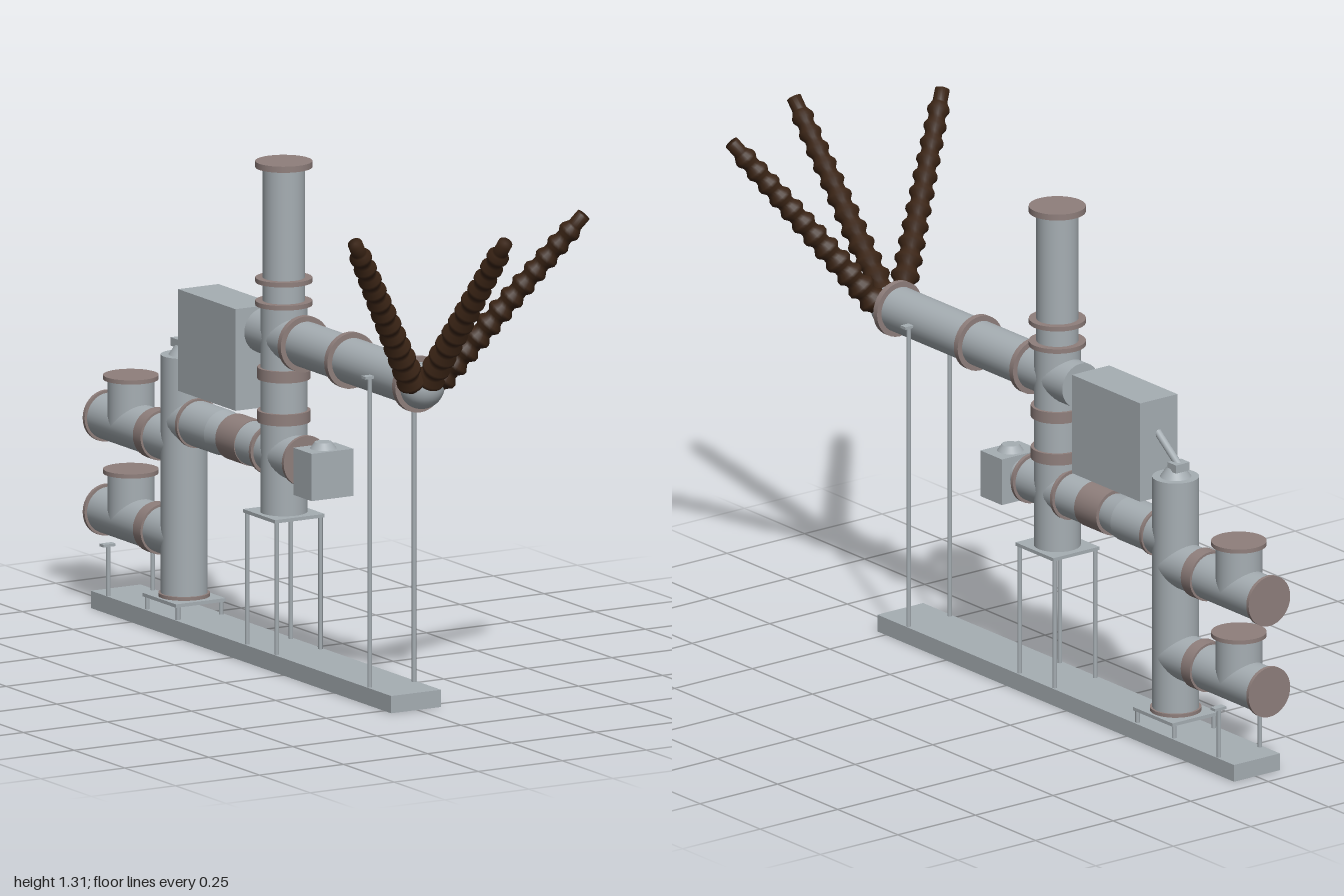
import * as THREE from 'three';

const steel = new THREE.MeshStandardMaterial({ color: 0xa6aeb3 });
const rust = new THREE.MeshStandardMaterial({ color: 0x8f7f7c });
const brown = new THREE.MeshStandardMaterial({ color: 0x3a2415 });
const V = (x, y, z) => new THREE.Vector3(x, y, z);
const UP = V(0, 1, 0);

export function createModel() {
  const model = new THREE.Group();
  model.name = 'switchgearBay';

  function add(name, geometry, material, position) {
    const mesh = new THREE.Mesh(geometry, material);
    mesh.name = name;
    mesh.position.copy(position);
    model.add(mesh);
    return mesh;
  }
  // Cylinder running from a to b
  function pipe(name, a, b, r, material = steel, rEnd = r, sides = 32) {
    const dir = b.clone().sub(a);
    const mesh = add(name, new THREE.CylinderGeometry(rEnd, r, dir.length(), sides), material,
      a.clone().add(b).multiplyScalar(0.5));
    mesh.quaternion.setFromUnitVectors(UP, dir.normalize());
    return mesh;
  }
  // Box given by its limits
  const box = (name, x0, x1, y0, y1, z0, z1) => add(name,
    new THREE.BoxGeometry(x1 - x0, y1 - y0, z1 - z0), steel,
    V((x0 + x1) / 2, (y0 + y1) / 2, (z0 + z1) / 2));
  const C = -0.004; // centre plane of the pipework
  const along = (name, y, z0, z1, r, m, r1) => pipe(name, V(C, y, z0), V(C, y, z1), r, m, r1);
  const upright = (name, z, y0, y1, r, m, r1) => pipe(name, V(C, y0, z), V(C, y1, z), r, m, r1);
  const post = (name, x, z, y0, y1, r = 0.006) =>
    pipe(name, V(C + x, y0, z), V(C + x, y1, z), r, steel, r, 10);

  // Base beam
  box('base', C - 0.074, C + 0.074, 0, 0.045, -0.948, 0.535);

  // Upper horizontal bus duct with rounded front end
  along('busDuct', 0.852, 0.565, -0.215, 0.059);
  add('ductEnd', new THREE.SphereGeometry(0.059, 32, 20), steel, V(C, 0.85, 0.562));
  for (const z of [0.545, 0.21, -0.02])
    along('ductFlange', 0.852, z + 0.008, z - 0.008, 0.073, rust);

  // Main tower
  const T = -0.118;
  upright('towerLower', T, 0.395, 0.94, 0.06);
  upright('towerUpper', T, 0.93, 1.3, 0.054);
  upright('towerCap', T, 1.295, 1.311, 0.073, rust);
  for (const y of [1.002, 0.942]) upright('towerFlange', T, y - 0.006, y + 0.006, 0.073, rust);
  for (const y of [0.76, 0.648]) upright('towerCollar', T, y - 0.015, y + 0.015, 0.068, rust);
  box('towerPlate', C - 0.074, C + 0.074, 0.388, 0.397, T - 0.079, T + 0.079);
  for (const x of [-0.065, 0.065])
    for (const z of [-0.073, 0.073]) post('towerLeg', x, T + z, 0.045, 0.39);

  // Lower horizontal link to the tank
  along('linkPipe', 0.548, -0.01, -0.27, 0.058);
  for (const z of [-0.014, -0.177]) along('linkFlange', 0.548, z + 0.005, z - 0.005, 0.066, rust);
  along('bellows', 0.548, -0.265, -0.357, 0.06, rust);
  along('reducer', 0.548, -0.357, -0.415, 0.051, steel, 0.059);
  along('linkPipeRear', 0.548, -0.415, -0.61, 0.059);
  along('linkFlangeRear', 0.548, -0.54, -0.55, 0.064, rust);

  // Drive unit in front of the tower
  box('driveBox', C - 0.062, C + 0.062, 0.475, 0.598, 0.032, 0.122);
  pipe('driveCap', V(C, 0.598, 0.077), V(C, 0.615, 0.077), 0.034, steel, 0.022);
  along('driveShaft', 0.548, 0.035, -0.012, 0.028);
  along('driveCoupling', 0.548, 0.025, 0.012, 0.042);

  // Control cabinet
  box('controlCabinet', C - 0.06, C + 0.06, 0.64, 0.905, -0.54, -0.257);

  // Vertical tank with stand and linkage
  const K = -0.61;
  upright('tank', K, 0.085, 0.716, 0.06);
  upright('tankRim', K, 0.085, 0.096, 0.066, rust);
  box('tankPlate', C - 0.074, C + 0.074, 0.078, 0.087, K - 0.082, K + 0.082);
  for (const x of [-0.064, 0.064])
    for (const z of [-0.076, 0.076]) post('tankLeg', x, K + z, 0.045, 0.08);
  upright('tankCap', K, 0.716, 0.748, 0.04, steel, 0.018);
  pipe('linkageRod', V(C, 0.815, -0.535), V(C, 0.748, -0.625), 0.01, steel, 0.01, 12);
  box('linkageBracket', C - 0.022, C + 0.022, 0.735, 0.757, -0.64, -0.605);

  // Two rear outlets, each with an upward branch
  for (const y of [0.24, 0.485]) {
    along('outletPipe', y, K, -0.995, 0.06);
    along('outletCollar', y, -0.716, -0.754, 0.066, rust);
    along('outletCap', y, -0.99, -1, 0.067, rust);
    upright('outletBranch', -0.873, y, y + 0.12, 0.06);
    upright('branchCap', -0.873, y + 0.118, y + 0.129, 0.071, rust);
  }

  // Slender supports with side lugs: rear outlet and front duct
  for (const s of [-1, 1]) {
    post('outletPost', s * 0.066, -0.875, 0.045, 0.178);
    box('outletLug', C + s * 0.068 - 0.018, C + s * 0.068 + 0.018, 0.174, 0.181, -0.885, -0.865);
    post('ductPost', s * 0.066, 0.415, 0.045, 0.855);
    box('ductLug', C + s * 0.068 - 0.016, C + s * 0.068 + 0.016, 0.85, 0.857, 0.405, 0.425);
  }

  // Ribbed insulators fanning out from the duct end
  function insulator(a, b) {
    const dir = b.clone().sub(a), L = dir.length(), n = 12, body = L * 0.94;
    const pts = [new THREE.Vector2(0, 0), new THREE.Vector2(0.024, 0)];
    for (let i = 0; i < n; i++) {
      const y = (f) => ((i + f) / n) * body;
      const rib = 0.038 - 0.010 * i / n, core = 0.027 - 0.006 * i / n;
      pts.push(new THREE.Vector2(core, y(0.15)), new THREE.Vector2(rib, y(0.42)),
        new THREE.Vector2(rib, y(0.62)), new THREE.Vector2(core, y(0.9)));
    }
    pts.push(new THREE.Vector2(0.019, body), new THREE.Vector2(0.019, L), new THREE.Vector2(0, L));
    const mesh = add('insulator', new THREE.LatheGeometry(pts, 20), brown, a);
    mesh.quaternion.setFromUnitVectors(UP, dir.normalize());
  }
  insulator(V(C, 0.86, 0.59), V(C - 0.004, 1.3, 0.982));
  for (const s of [-1, 1])
    insulator(V(C + s * 0.035, 0.855, 0.58), V(C + s * 0.34, 1.302, 0.798));

  return model;
}
